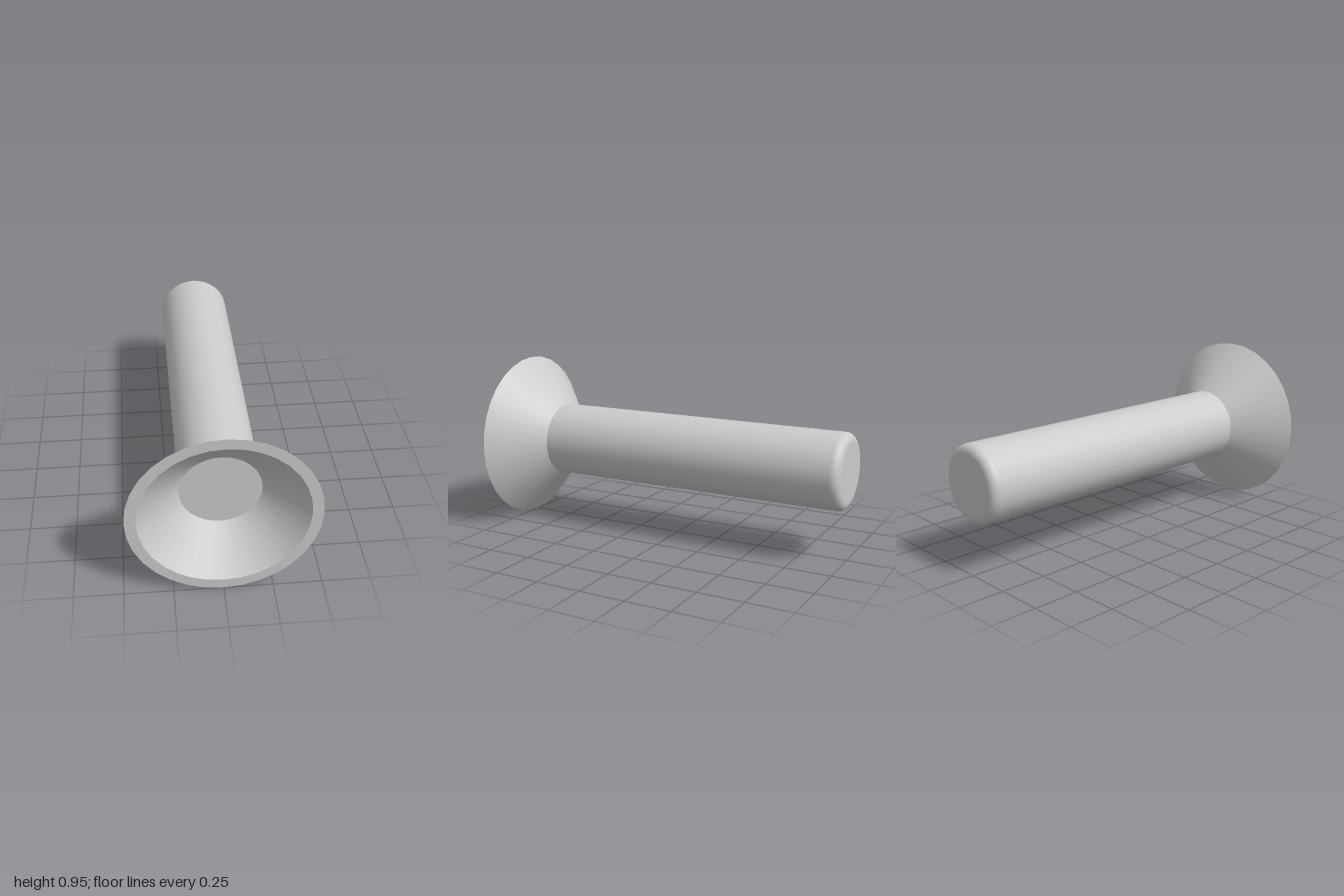
import * as THREE from 'three';

const SEGMENTS = 32;
const SHAFT_R = 0.206, FILLET = 0.045;
const RIM_R = 0.476, CUP_R = 0.42, FLOOR_R = 0.207;
const NECK_Z = 0.758, FLOOR_Z = 0.8;

export function createModel() {
  const model = new THREE.Group();
  model.name = 'flaredPlunger';
  const material = new THREE.MeshStandardMaterial({ color: 0xcccccc });

  // Each band is [radius, z] pairs turned about the z axis; separate bands keep edges sharp
  const band = (name, profile) => {
    const points = profile.map(([r, z]) => new THREE.Vector2(r, z));
    const geometry = new THREE.LatheGeometry(points, SEGMENTS);
    geometry.rotateX(Math.PI / 2);
    const mesh = new THREE.Mesh(geometry, material);
    mesh.name = name;
    mesh.position.y = RIM_R;
    model.add(mesh);
  };

  // Shaft with a rounded back edge
  const fillet = [];
  for (let i = 0; i <= 6; i++) {
    const a = (i / 6) * Math.PI / 2;
    fillet.push([SHAFT_R - FILLET * (1 - Math.sin(a)), -1 + FILLET * (1 - Math.cos(a))]);
  }
  band('shaftEnd', [[0, -1], [SHAFT_R - FILLET, -1]]);
  band('shaftRoundedEdge', fillet);
  band('shaft', [[SHAFT_R, -1 + FILLET], [SHAFT_R, NECK_Z]]);

  // Flared head: outer cone, flat rim, hollow cup and its floor
  band('flareOuter', [[SHAFT_R, NECK_Z], [RIM_R, 1]]);
  band('flareRim', [[RIM_R, 1], [CUP_R, 1]]);
  band('flareInner', [[CUP_R, 1], [FLOOR_R, FLOOR_Z]]);
  band('cupFloor', [[FLOOR_R, FLOOR_Z], [0, FLOOR_Z]]);

  return model;
}
